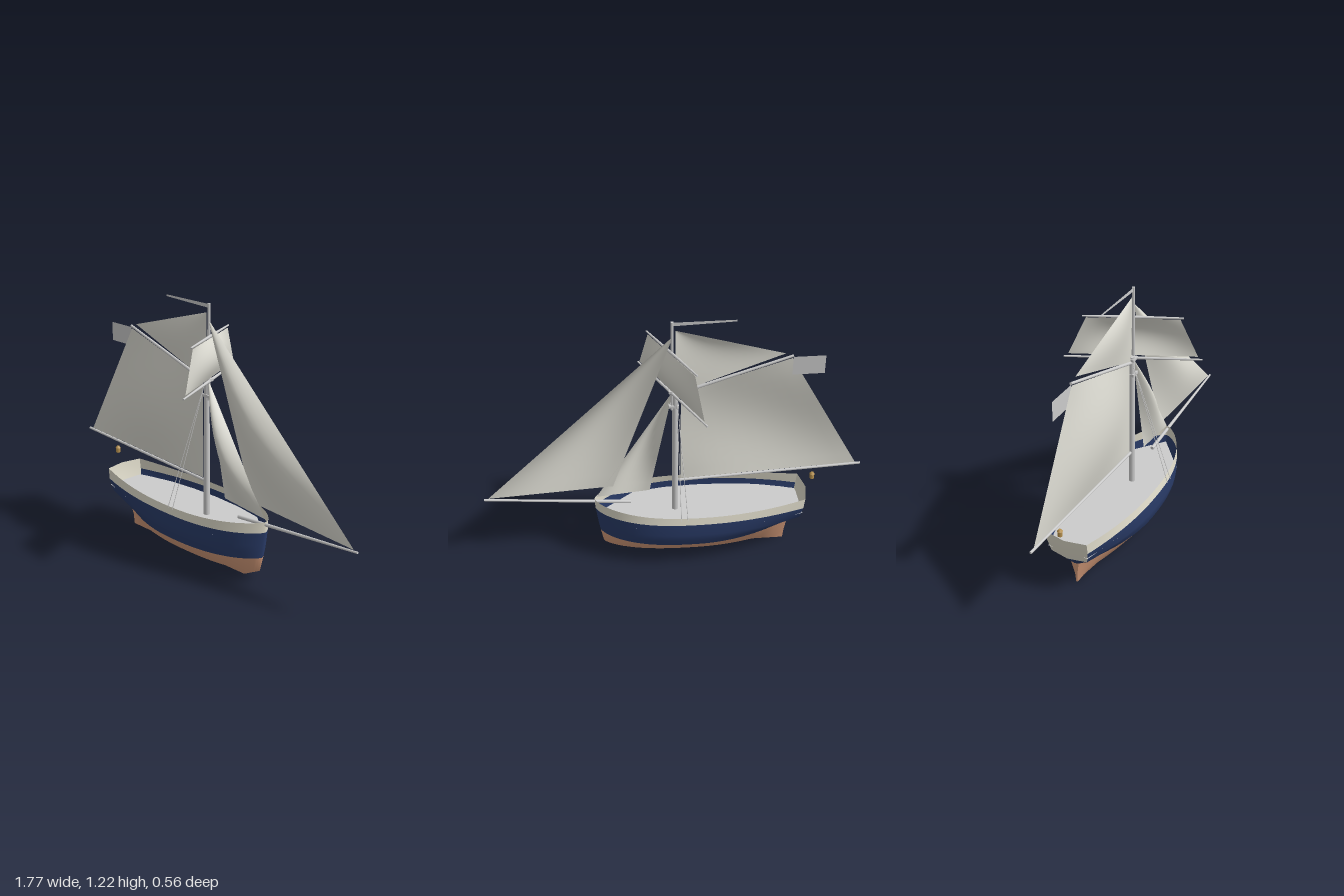
import * as THREE from 'three';

const mat = (color) => new THREE.MeshStandardMaterial({ color, side: THREE.DoubleSide });
const MATS = {
  grey: mat(0xcccccc), cream: mat(0xe0dccb), blue: mat(0x2a3c69),
  copper: mat(0xdba07e), sail: mat(0xdddcd3), brass: mat(0xb8924f),
};
const V = (x, y, z = 0) => new THREE.Vector3(x, y, z);

export function createModel() {
  const model = new THREE.Group();
  model.name = 'sailingCutter';

  function add(name, geometry, material, parent = model) {
    const mesh = new THREE.Mesh(geometry, material);
    mesh.name = name;
    parent.add(mesh);
    return mesh;
  }

  // Surface through a list of point rows of equal length
  function skin(rows) {
    const n = rows[0].length, index = [];
    for (let j = 0; j < rows.length - 1; j++) {
      for (let i = 0; i < n - 1; i++) {
        const a = j * n + i, b = a + n;
        index.push(a, b, a + 1, a + 1, b, b + 1);
      }
    }
    const g = new THREE.BufferGeometry().setFromPoints(rows.flat());
    g.setIndex(index);
    g.computeVertexNormals();
    return g;
  }

  // Round tapered bar between two points
  function spar(name, a, b, r0, r1 = r0, sides = 10, parent = model) {
    const d = b.clone().sub(a);
    const m = add(name, new THREE.CylinderGeometry(r1, r0, d.length(), sides), MATS.grey, parent);
    m.position.copy(a).addScaledVector(d, 0.5);
    m.quaternion.setFromUnitVectors(V(0, 1), d.normalize());
    return m;
  }

  // Four-cornered cloth, bellied out along a direction; repeat a corner for a triangle
  function sail(name, [a, b, c, d], belly, parent = model) {
    const rows = [], n = 12;
    for (let j = 0; j <= n; j++) {
      const row = [], v = j / n;
      for (let i = 0; i <= n; i++) {
        const u = i / n;
        const p = a.clone().lerp(b, u).lerp(d.clone().lerp(c, u), v);
        row.push(p.addScaledVector(belly, Math.sin(Math.PI * u) * Math.sin(Math.PI * v)));
      }
      rows.push(row);
    }
    return add(name, skin(rows), MATS.sail, parent);
  }

  // Hull levels: height, stern x, bow x, half beam, stern fullness
  const levels = [
    [0.285, -0.493, 0.49, 0.17, 0.59],
    [0.25, -0.487, 0.487, 0.177, 0.57],
    [0.19, -0.475, 0.479, 0.179, 0.5],
    [0.155, -0.452, 0.474, 0.172, 0.3],
    [0.12, -0.43, 0.468, 0.158, 0.12],
    [0.05, -0.422, 0.455, 0.098, 0.06],
    [0, -0.418, 0.36, 0.004, 1],
  ];
  const N = 24;
  const side = ([y, xs, xe, w, full], k, s) => {
    const pts = [];
    for (let i = 0; i <= N; i++) {
      const t = Math.sin((Math.PI / 2) * i / N);
      const u = Math.abs(t - 0.5) * 2;
      const f = t > 0.5 ? Math.pow(Math.max(0, 1 - Math.pow(u, 2.6)), 0.7) : 1 - (1 - full) * u * u;
      const sheer = k === 0 ? 0.017 * u * u : 0;
      pts.push(V(xs + (xe - xs) * t, y + sheer, s * w * f));
    }
    return pts;
  };
  const loops = levels.map((l, k) => [...side(l, k, 1), ...side(l, k, -1).reverse().slice(1)]);
  const hull = new THREE.Group();
  hull.name = 'hull';
  model.add(hull);
  add('bulwark', skin(loops.slice(0, 2)), MATS.cream, hull);
  add('topsides', skin(loops.slice(1, 5)), MATS.blue, hull);
  add('bottom', skin(loops.slice(4)), MATS.copper, hull);

  // Stern closes the loops with a slightly bowed panel
  const stern = loops.map((loop) => {
    const a = loop[loop.length - 1], b = loop[0];
    const mid = a.clone().lerp(b, 0.5);
    mid.x -= 0.2 * b.z;
    return [a, mid, b];
  });
  add('transom', skin(stern.slice(0, 3)), MATS.cream, hull);
  add('counter', skin(stern.slice(2, 5)), MATS.blue, hull);
  add('sternpost', skin(stern.slice(4)), MATS.copper, hull);

  // Deck, cut straight towards the bow
  const half = [[-0.485, 0.098], [-0.3, 0.146], [-0.15, 0.165], [0, 0.171], [0.15, 0.165], [0.3, 0.142], [0.475, 0]];
  const outline = [...half, ...half.slice(0, -1).reverse().map(([x, z]) => [x, -z])];
  const deck = add('deck', new THREE.ShapeGeometry(new THREE.Shape(outline.map(([x, z]) => new THREE.Vector2(x, z)))), MATS.grey, hull);
  deck.rotation.x = -Math.PI / 2;
  deck.position.y = 0.22;

  // Masts and spars
  spar('lowerMast', V(0.11, 0.22), V(0.11, 0.89), 0.015, 0.013, 14);
  spar('topmast', V(0.124, 0.78), V(0.124, 1.22), 0.008, 0.007);
  spar('bowsprit', V(0.32, 0.273), V(1, 0.332), 0.009, 0.005);
  spar('boom', V(0.095, 0.385), V(-0.765, 0.424), 0.007, 0.006);
  spar('gaff', V(0.1, 0.862), V(-0.41, 1.027), 0.008, 0.006);
  for (const y of [0.8, 0.875]) {
    const cap = add('mastCap', new THREE.BoxGeometry(0.045, 0.012, 0.03), MATS.grey);
    cap.position.set(0.117, y, 0);
  }

  // Shrouds, two on each side
  for (const s of [1, -1]) {
    for (const x of [0.07, 0.1]) spar('shroud', V(0.105, 0.875), V(x, 0.3, s * 0.205), 0.0016, 0.0016, 5);
  }

  // Fore-and-aft sails
  sail('mainsail', [V(-0.74, 0.43), V(0.085, 0.395), V(0.085, 0.86), V(-0.405, 1.015)], V(0, 0, 0.042));
  sail('gaffTopsail', [V(-0.375, 1.04), V(0.105, 0.865), V(0.11, 1.178), V(0.11, 1.178)], V(0, 0, 0.018));
  sail('jib', [V(0.4, 0.369), V(0.98, 0.338), V(0.12, 1.15), V(0.12, 1.15)], V(0, 0, 0.06));
  sail('staysail', [V(0.23, 0.335), V(0.48, 0.312), V(0.12, 0.875), V(0.12, 0.875)], V(0, 0, 0.055));

  // Braced square topsail: built athwartships, then swung round the mast
  const square = new THREE.Group();
  square.name = 'squareRig';
  square.position.x = 0.118;
  square.rotation.y = Math.atan2(0.25, 0.55);
  model.add(square);
  for (const [name, y, h] of [['lowerYard', 0.872, 0.307], ['upperYard', 1.074, 0.22]]) {
    for (const s of [1, -1]) spar(name, V(0.012, y, 0), V(0.012, y, s * h), 0.007, 0.004, 10, square);
  }
  sail('squareTopsail', [V(0.014, 0.885, -0.287), V(0.014, 0.885, 0.287), V(0.014, 1.066, 0.205), V(0.014, 1.066, -0.205)],
    V(0.03, 0, 0), square);

  // Flag at the gaff peak and pennant at the masthead
  const flag = add('flag', new THREE.PlaneGeometry(0.145, 0.09), MATS.grey);
  flag.position.set(-0.482, 0.975, 0);
  const pennant = new THREE.Shape([[0.12, 1.2], [0.12, 1.217], [-0.155, 1.217], [-0.155, 1.209]].map((p) => new THREE.Vector2(...p)));
  add('pennant', new THREE.ShapeGeometry(pennant), MATS.grey);

  // Stern lantern
  const lantern = add('lantern', new THREE.CylinderGeometry(0.011, 0.011, 0.024, 8), MATS.brass);
  lantern.position.set(-0.54, 0.362, 0);
  const top = add('lanternCap', new THREE.CylinderGeometry(0.006, 0.013, 0.01, 8), MATS.brass);
  top.position.set(-0.54, 0.379, 0);

  return model;
}
